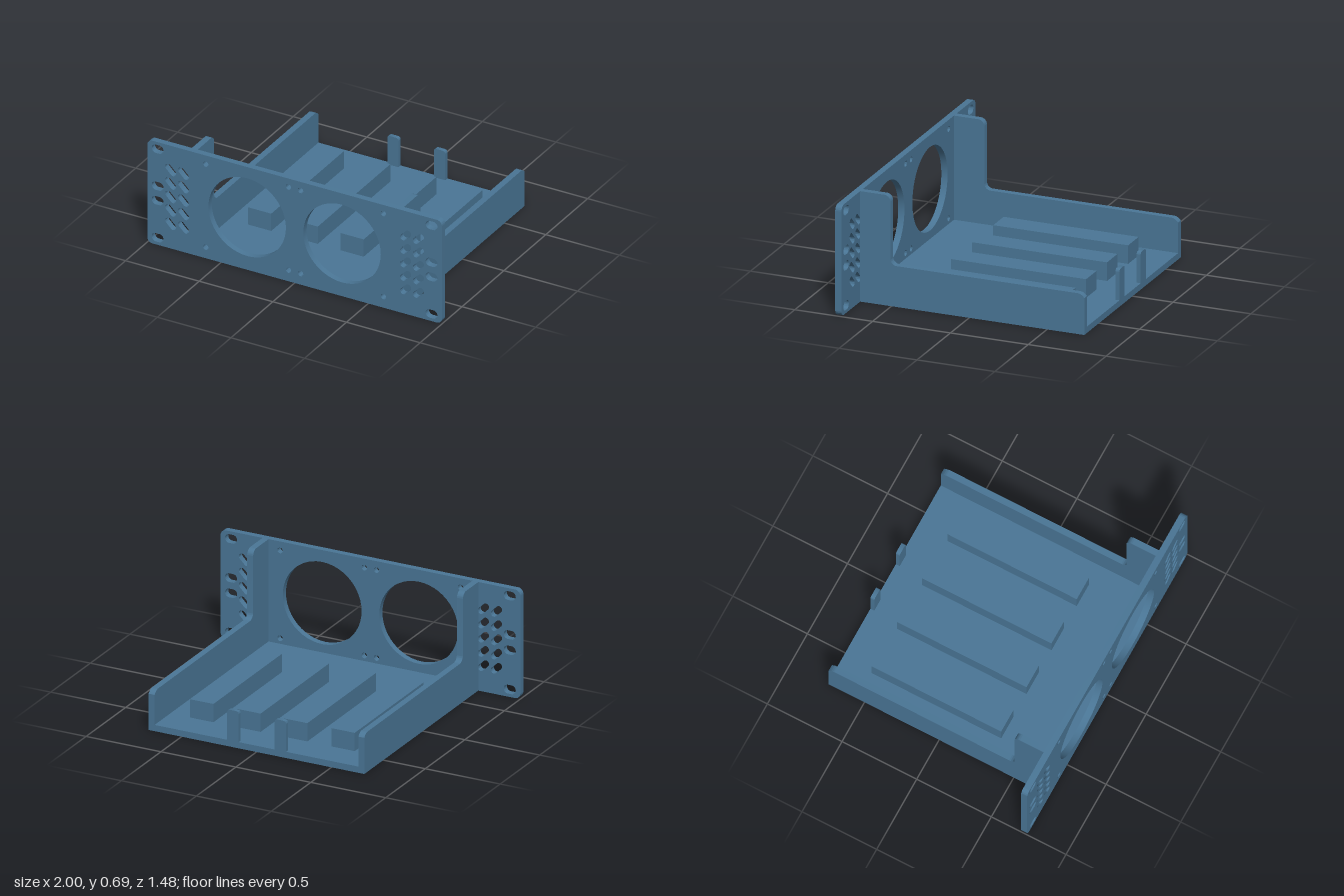
import * as THREE from 'three';
import { toCreasedNormals } from 'three/addons/utils/BufferGeometryUtils.js';

const FLOOR = 0.04, WALL = 0.04, BACK = -0.74, FRONT = 0.74, PANEL_BACK = 0.7;

// Circular hole
function roundHole(x, y, r) {
  const p = new THREE.Path();
  p.absarc(x, y, r, 0, Math.PI * 2, true);
  return p;
}

// Stadium-shaped hole: half = distance from centre to each end arc
function slotHole(x, y, half, r, angle) {
  const dx = Math.cos(angle) * half, dy = Math.sin(angle) * half;
  const p = new THREE.Path();
  p.absarc(x + dx, y + dy, r, angle - Math.PI / 2, angle + Math.PI / 2, false);
  p.absarc(x - dx, y - dy, r, angle + Math.PI / 2, angle + Math.PI * 1.5, false);
  p.closePath();
  return p;
}

// Rectangle with chosen radii for the bottom and top corners
function roundedRect(x0, y0, x1, y1, rb, rt) {
  const s = new THREE.Shape(), h = Math.PI / 2;
  s.moveTo(x0 + rb, y0);
  s.lineTo(x1 - rb, y0);
  if (rb) s.absarc(x1 - rb, y0 + rb, rb, -h, 0, false);
  s.lineTo(x1, y1 - rt);
  s.absarc(x1 - rt, y1 - rt, rt, 0, h, false);
  s.lineTo(x0 + rt, y1);
  s.absarc(x0 + rt, y1 - rt, rt, h, Math.PI, false);
  s.lineTo(x0, y0 + rb);
  if (rb) s.absarc(x0 + rb, y0 + rb, rb, Math.PI, Math.PI + h, false);
  return s;
}

function extrude(shape, depth, curveSegments = 12) {
  const g = new THREE.ExtrudeGeometry(shape, { depth, curveSegments, bevelEnabled: false });
  return toCreasedNormals(g, 0.6);
}

export function createModel() {
  const group = new THREE.Group();
  group.name = 'rackTray';
  const blue = new THREE.MeshStandardMaterial({ color: 0x4a7696 });
  blue.name = 'steel blue';

  const add = (name, geometry, x = 0, y = 0, z = 0) => {
    const mesh = new THREE.Mesh(geometry, blue);
    mesh.name = name;
    mesh.position.set(x, y, z);
    group.add(mesh);
  };
  const addBox = (name, x0, x1, y0, y1, z0, z1) =>
    add(name, new THREE.BoxGeometry(x1 - x0, y1 - y0, z1 - z0),
      (x0 + x1) / 2, (y0 + y1) / 2, (z0 + z1) / 2);

  // Front panel with fan openings, screw holes, mounting slots and vents
  const panel = roundedRect(-1, 0, 1, 0.695, 0.035, 0.035);
  for (const s of [-1, 1]) {
    panel.holes.push(roundHole(s * 0.322, 0.356, 0.263));
    for (const x of [0.041, 0.603])
      for (const y of [0.075, 0.637]) panel.holes.push(roundHole(s * x, y, 0.018));
    for (const y of [0.048, 0.299, 0.397, 0.647])
      panel.holes.push(slotHole(s * 0.93, y, 0.012, 0.028, 0));
    for (const x of [0.754, 0.841])
      for (let i = 0; i < 5; i++)
        panel.holes.push(slotHole(s * x, 0.166 + i * 0.091, 0.023, 0.021, s * Math.PI / 4));
  }
  add('frontPanel', extrude(panel, FRONT - PANEL_BACK, 24), 0, 0, PANEL_BACK);

  // Tray floor
  addBox('floor', -0.72 + WALL, 0.72 - WALL, 0, FLOOR, BACK, PANEL_BACK);

  // Side walls: low along the tray, stepping up behind the panel
  const side = new THREE.Shape();
  side.moveTo(BACK, 0);
  side.lineTo(PANEL_BACK, 0);
  side.lineTo(PANEL_BACK, 0.695);
  side.lineTo(0.545, 0.695);
  side.absarc(0.545, 0.655, 0.04, Math.PI / 2, Math.PI, false);
  side.lineTo(0.505, 0.297);
  side.absarc(0.465, 0.297, 0.04, 0, -Math.PI / 2, true);
  side.lineTo(-0.695, 0.257);
  side.quadraticCurveTo(-0.72, 0.257, BACK, 0.232);
  side.closePath();
  const wall = extrude(side, WALL).rotateY(-Math.PI / 2);
  add('leftWall', wall, 0.72);
  add('rightWall', wall, -0.72 + WALL);

  // Four support bars on the floor
  [-0.473, -0.157, 0.155, 0.47].forEach((x, i) =>
    addBox('supportBar' + (i + 1), x - 0.078, x + 0.078, FLOOR, 0.157, -0.542, 0.325));

  // Rear stop posts with rounded tops
  for (const [name, x] of [['rightPost', -0.16], ['leftPost', 0.157]])
    add(name, extrude(roundedRect(-0.038, FLOOR, 0.038, 0.235, 0, 0.016), 0.026), x, 0, BACK);

  return group;
}
